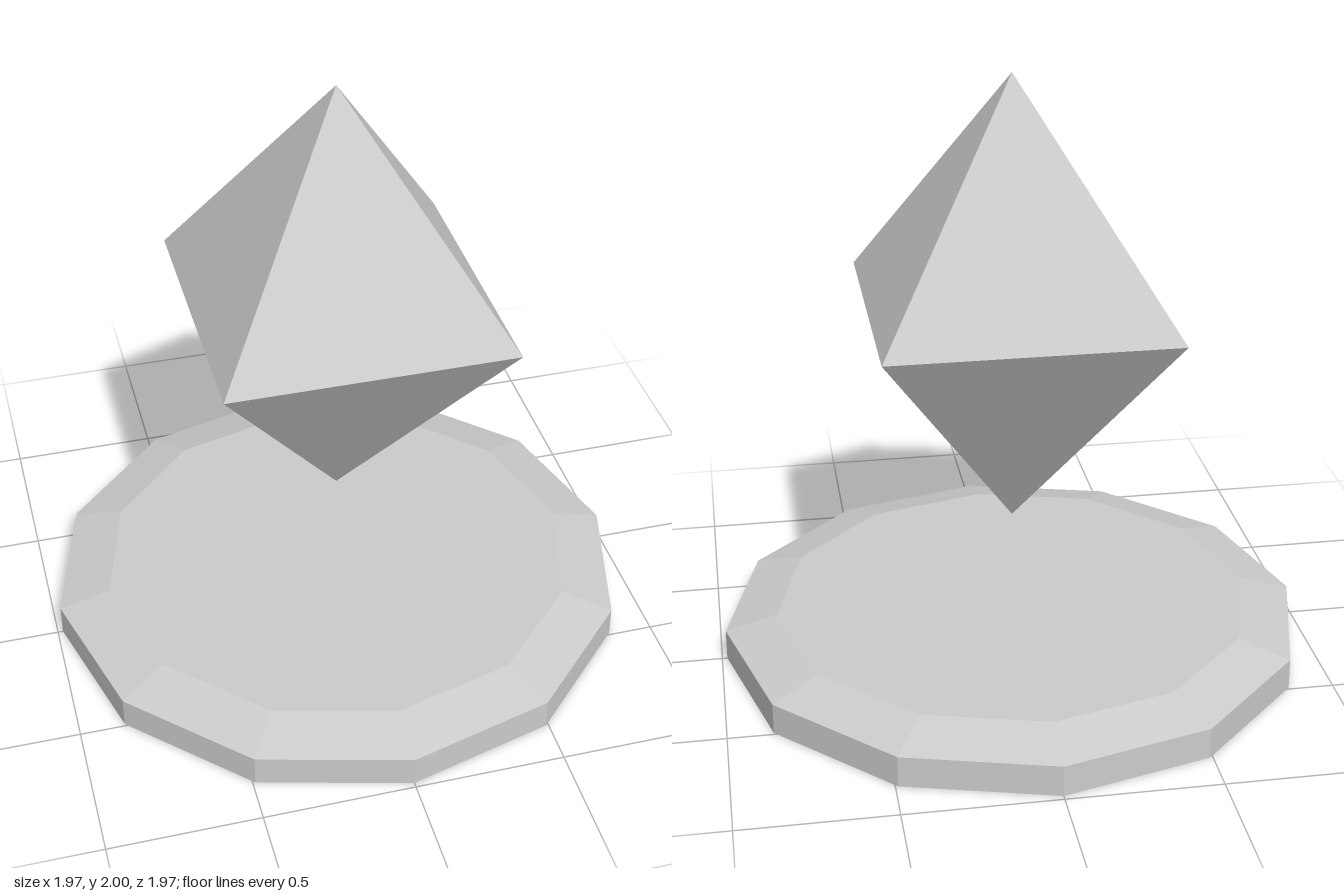
import * as THREE from 'three';

export function createModel() {
  const model = new THREE.Group();

  // Floating crystal: stretched octahedron with its flat sides facing the axes
  const half = 0.473, height = 1.53, top = 2;
  const crystalGeometry = new THREE.OctahedronGeometry(1, 0);
  crystalGeometry.rotateY(Math.PI / 4);
  crystalGeometry.scale(half * Math.SQRT2, height / 2, half * Math.SQRT2);
  const crystal = new THREE.Mesh(
    crystalGeometry,
    new THREE.MeshStandardMaterial({ color: 0xcccccc, flatShading: true })
  );
  crystal.name = 'crystal';
  crystal.position.y = top - height / 2;
  model.add(crystal);

  // Twelve-sided base plate: hollow shell, open underneath, with a bevelled rim
  const profile = [[0.983, 0], [0.983, 0.105], [0.808, 0.153], [0, 0.153]]
    .map(([r, y]) => new THREE.Vector2(r, y));
  const base = new THREE.Mesh(
    new THREE.LatheGeometry(profile, 12),
    new THREE.MeshStandardMaterial({ color: 0xcccccc, flatShading: true, side: THREE.DoubleSide })
  );
  base.name = 'basePlate';
  model.add(base);

  return model;
}
